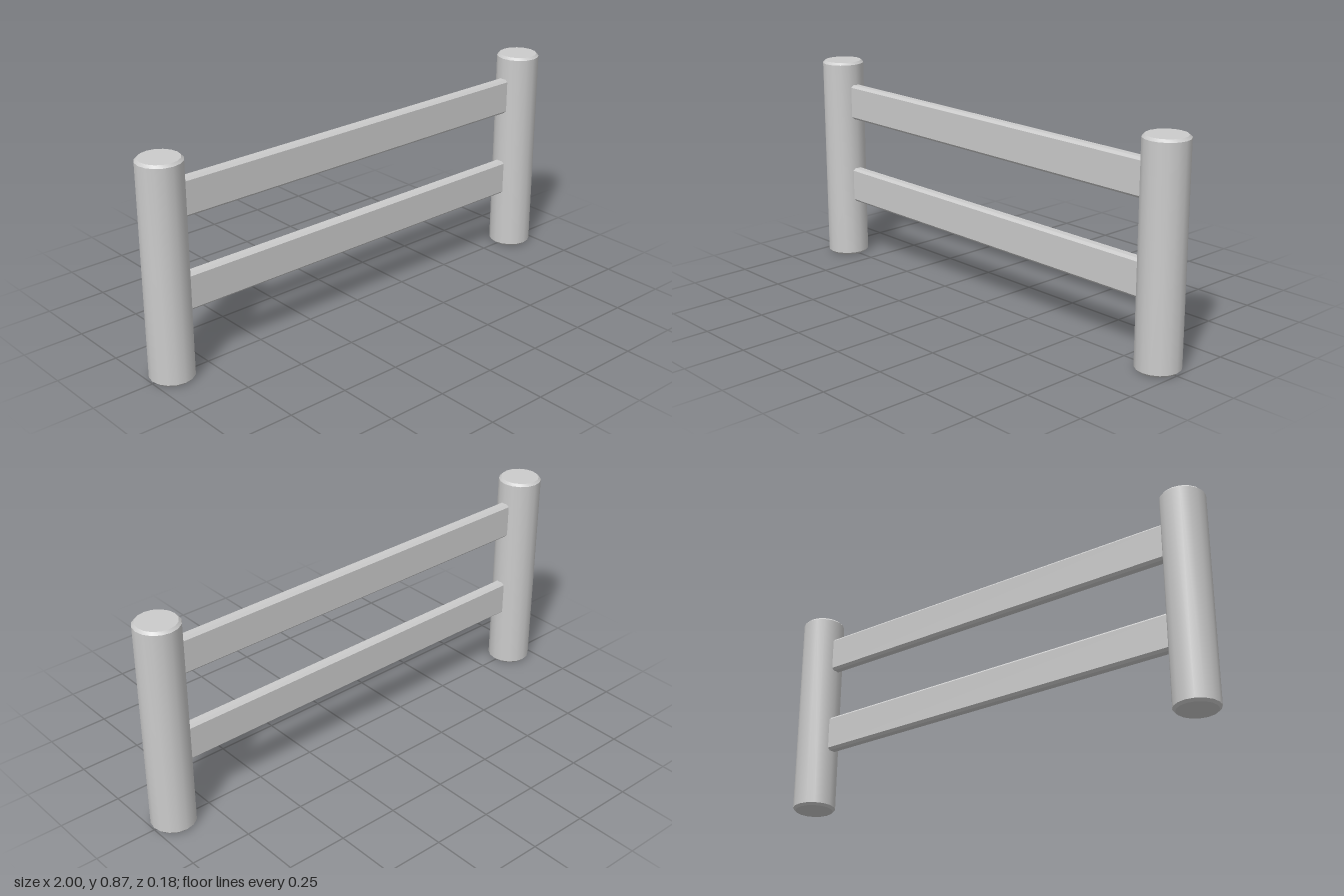
import * as THREE from 'three';
import { toCreasedNormals } from 'three/addons/utils/BufferGeometryUtils.js';

const POST_X = 0.912, POST_R = 0.088, POST_H = 0.872;
const RAIL_H = 0.15, RAIL_D = 0.046, BEVEL = 0.01;

// Round post with a small chamfer at both ends
function postGeometry() {
  const profile = [
    [0, 0], [POST_R - BEVEL, 0], [POST_R, BEVEL],
    [POST_R, POST_H - BEVEL], [POST_R - BEVEL, POST_H], [0, POST_H],
  ].map(([r, y]) => new THREE.Vector2(r, y));
  return toCreasedNormals(new THREE.LatheGeometry(profile, 16), 0.6);
}

// Flat board with chamfered long edges, running along x into both posts
function railGeometry() {
  const h = RAIL_H / 2, d = RAIL_D / 2, b = BEVEL, length = 2 * (POST_X - 0.04);
  const section = new THREE.Shape([
    [-d, -h + b], [-d + b, -h], [d - b, -h], [d, -h + b],
    [d, h - b], [d - b, h], [-d + b, h], [-d, h - b],
  ].map(([z, y]) => new THREE.Vector2(z, y)));
  const geometry = new THREE.ExtrudeGeometry(section, { depth: length, bevelEnabled: false });
  return geometry.translate(0, 0, -length / 2).rotateY(Math.PI / 2);
}

export function createModel() {
  const group = new THREE.Group();
  group.name = 'fence';
  const material = new THREE.MeshStandardMaterial({ color: 0xcccccc });

  const add = (name, geometry, x, y) => {
    const mesh = new THREE.Mesh(geometry, material);
    mesh.name = name;
    mesh.position.set(x, y, 0);
    group.add(mesh);
  };

  // Posts
  const post = postGeometry();
  add('leftPost', post, POST_X, 0);
  add('rightPost', post, -POST_X, 0);

  // Rails
  const rail = railGeometry();
  add('upperRail', rail, 0, 0.698);
  add('lowerRail', rail, 0, 0.325);

  return group;
}
